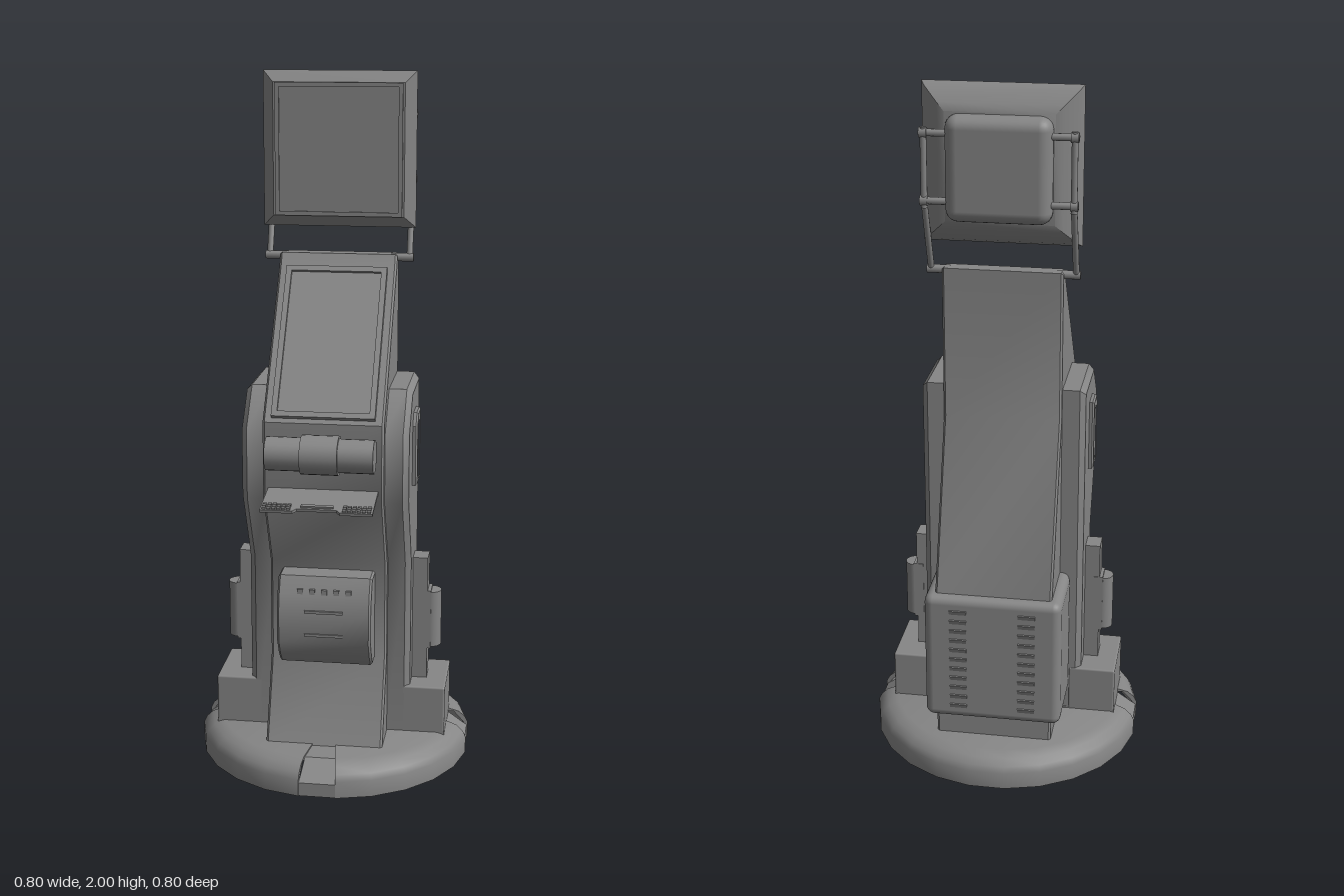
import * as THREE from 'three';
import { toCreasedNormals } from 'three/addons/utils/BufferGeometryUtils.js';
import { RoundedBoxGeometry } from 'three/addons/geometries/RoundedBoxGeometry.js';
import { ConvexGeometry } from 'three/addons/geometries/ConvexGeometry.js';

const grey = new THREE.MeshStandardMaterial({ color: 0x868686 });
const thin = new THREE.MeshStandardMaterial({ color: 0x868686, side: THREE.DoubleSide });
const rad = THREE.MathUtils.degToRad;
const V = (x, y, z) => new THREE.Vector3(x, y, z);

export function createModel() {
  const model = new THREE.Group();

  function add(name, geometry, pos = [0, 0, 0], parent = model, material = grey) {
    const mesh = new THREE.Mesh(geometry, material);
    mesh.name = name;
    mesh.position.set(...pos);
    parent.add(mesh);
    return mesh;
  }
  // box from its min and max corners
  function box(name, a, b, radius = 0) {
    const size = a.map((v, i) => b[i] - v);
    const geo = radius ? new RoundedBoxGeometry(...size, 3, radius) : new THREE.BoxGeometry(...size);
    return add(name, geo, a.map((v, i) => (v + b[i]) / 2));
  }
  // side outline of [z, y] points extruded from x0 to x1; bends below the crease angle are smooth
  function prism(name, pts, x0, x1, bevel, crease = 0.5, hole = null) {
    const toVec = p => new THREE.Vector2(-p[0], p[1]);
    const shape = new THREE.Shape(pts.map(toVec));
    if (hole) shape.holes.push(new THREE.Path(hole.map(toVec)));
    const geo = new THREE.ExtrudeGeometry(shape, {
      depth: x1 - x0 - 2 * bevel, bevelSize: bevel,
      bevelThickness: bevel, bevelOffset: -bevel, bevelSegments: 1,
    });
    geo.translate(0, 0, x0 + bevel).rotateY(Math.PI / 2);
    return add(name, toCreasedNormals(geo, crease));
  }
  function rod(name, a, b, r, sides = 10) {
    const mesh = add(name, new THREE.CylinderGeometry(r, r, a.distanceTo(b), sides));
    mesh.position.copy(a).lerp(b, 0.5);
    mesh.quaternion.setFromUnitVectors(V(0, 1, 0), b.clone().sub(a).normalize());
    return mesh;
  }
  function rectPath(path, w, h) {
    path.moveTo(-w / 2, -h / 2).lineTo(w / 2, -h / 2).lineTo(w / 2, h / 2).lineTo(-w / 2, h / 2);
    path.closePath();
    return path;
  }
  // raised rectangular border facing +z
  function bezel(name, w, h, border, depth) {
    const shape = rectPath(new THREE.Shape(), w, h);
    shape.holes.push(rectPath(new THREE.Path(), w - 2 * border, h - 2 * border));
    return add(name, new THREE.ExtrudeGeometry(shape, { depth, bevelEnabled: false }));
  }

  // round hollow base, with recessed notches at the front and both sides
  const rim = [[0, 0.085], [0.36, 0.085], [0.39, 0.05], [0.39, 0], [0.403, 0], [0.403, 0.05], [0.394, 0.068],
    [0.375, 0.085], [0.345, 0.095], [0, 0.095]].map(p => new THREE.Vector2(...p));
  const notch = [[0, 0.08], [0.335, 0.08], [0.388, 0.03], [0.388, 0], [0.4, 0], [0.4, 0.04],
    [0.335, 0.09], [0, 0.094]].map(p => new THREE.Vector2(...p));
  const arc = (name, profile, start, steps) => add(name, toCreasedNormals(
    new THREE.LatheGeometry(profile, steps, rad(start), rad(15 * steps)), 0.6));
  for (const [start, steps] of [[7.5, 5], [97.5, 11], [277.5, 5]]) {
    arc('base', rim, start, steps);
    for (const angle of [start, start + 15 * steps]) {
      add('baseNotchWall', new THREE.ShapeGeometry(new THREE.Shape(rim)), [0, 0, 0], model, thin)
        .rotation.y = rad(angle - 90);
    }
  }
  for (const start of [-7.5, 82.5, 262.5]) arc('baseNotch', notch, start, 1);
  box('footPlate', [-0.34, 0.075, -0.087], [0.34, 0.1, 0.13]);

  // central cabinet
  prism('cabinet', [[0.26, 0.085], [0.155, 0.33], [0.155, 0.62], [0.262, 0.84], [0.262, 1.06],
    [-0.035, 1.45], [-0.055, 1.485], [-0.1, 1.485], [-0.1, 1.045], [-0.27, 0.56], [-0.27, 0.085]],
  -0.17, 0.17, 0.006);

  // sloping lower screen
  const lower = bezel('lowerScreenFrame', 0.29, 0.47, 0.016, 0.016);
  lower.position.set(0, 1.258, 0.112);
  lower.rotation.x = -Math.atan2(0.297, 0.39);
  add('lowerScreen', new THREE.BoxGeometry(0.262, 0.44, 0.01), [0, 0, 0.002], lower);

  // roller above the keyboard
  for (const [x, r] of [[0.15, 0.047], [0.052, 0.055]]) {
    rod('roller', V(-x, 0.985, 0.31), V(x, 0.985, 0.31), r, 24);
  }
  box('rollerMount', [-0.1, 0.965, 0.25], [0.1, 1.005, 0.3]);

  // keyboard shelf with a notched front edge
  const shelf = new THREE.Shape([[-0.155, 0], [0.155, 0], [0.155, 0.14], [0.065, 0.14], [0.055, 0.125],
    [-0.055, 0.125], [-0.065, 0.14], [-0.155, 0.14]].map(p => new THREE.Vector2(...p)));
  const keyboard = new THREE.Group();
  keyboard.name = 'keyboard';
  keyboard.position.set(0, 0.872, 0.262);
  keyboard.rotation.x = rad(9);
  model.add(keyboard);
  add('keyboardShelf', new THREE.ExtrudeGeometry(shelf, { depth: 0.008, bevelEnabled: false })
    .rotateX(Math.PI / 2), [0, 0, 0], keyboard);
  for (const s of [-1, 1]) {
    for (let i = 0; i < 6; i++) {
      for (let j = 0; j < 3; j++) {
        add('key', new THREE.BoxGeometry(0.010, 0.006, 0.009),
          [s * (0.077 + i * 0.0135), 0.002, 0.108 + j * 0.012], keyboard);
      }
    }
  }
  add('spaceBar', new THREE.BoxGeometry(0.09, 0.006, 0.012), [0, 0.002, 0.112], keyboard);

  // dispenser on the lower front
  prism('dispenser', [[0.14, 0.33], [0.205, 0.33], [0.235, 0.365], [0.26, 0.41], [0.26, 0.5], [0.248, 0.55],
    [0.222, 0.6], [0.14, 0.6]], -0.135, 0.135, 0.006, 0.6);
  for (const y of [0.435, 0.505]) box('dispenserSlot', [-0.055, y - 0.004, 0.25], [0.055, y + 0.004, 0.264]);
  for (let i = -2; i <= 2; i++) {
    box('dispenserButton', [i * 0.035 - 0.008, 0.553, 0.225], [i * 0.035 + 0.008, 0.567, 0.248]);
  }

  // rear housing with two columns of louvres
  box('rearHousing', [-0.2, 0.16, -0.296], [0.2, 0.56, -0.07], 0.025);
  for (const x of [-0.1, 0.1]) {
    for (let i = 0; i < 11; i++) {
      const slat = box('louvre', [x - 0.025, 0.19 + i * 0.031, -0.297], [x + 0.025, 0.211 + i * 0.031, -0.287]);
      slat.rotation.x = rad(-18);
    }
  }

  // upper monitor: bevelled front, curved back, rounded rear case
  const corners = [[-0.055, 0.188], [-0.082, 0.22], [-0.1, 0.21], [-0.128, 0.172], [-0.14, 0.15]]
    .flatMap(([z, h]) => [[-h, -h], [h, -h], [h, h], [-h, h]].map(([x, y]) => V(x, y, z)));
  add('monitor', toCreasedNormals(new ConvexGeometry(corners), 0.6), [0, 1.78, 0]);
  bezel('monitorFrame', 0.365, 0.375, 0.012, 0.006).position.set(0, 1.78, -0.056);
  box('monitorCase', [-0.145, 1.635, -0.186], [0.145, 1.925, -0.1], 0.035);

  for (const s of [-1, 1]) {
    const span = (a, b) => (s > 0 ? [a, b] : [-b, -a]);
    const sideBox = (name, x, y, z, r) => {
      const [x0, x1] = span(...x);
      return box(name, [x0, y[0], z[0]], [x1, y[1], z[1]], r);
    };

    // side panel with bevelled edges and a recessed grip
    prism('sidePanel', [[0.13, 0.085], [0.13, 0.62], [0.235, 0.83], [0.235, 1.03], [0.14, 1.137],
      [-0.085, 1.137], [-0.085, 0.085]], ...span(0.15, 0.236), 0.016, 0.76);
    prism('sideGrip', [[0.12, 0.85], [0.12, 1.025], [0.095, 1.06], [0.025, 1.06], [0.025, 0.85]],
      ...span(0.225, 0.25), 0.005, 0.5,
      [[0.105, 0.862], [0.105, 1.015], [0.09, 1.035], [0.04, 1.035], [0.04, 0.862]]);

    // foot block and upright latch
    sideBox('footBlock', [0.2, 0.34], [0.085, 0.237], [-0.087, 0.13], 0.006);
    sideBox('latchRail', [0.22, 0.28], [0.2, 0.612], [-0.005, 0.058]);
    sideBox('latchBlock', [0.26, 0.29], [0.33, 0.51], [-0.007, 0.058]);
    rod('latchBarrel', V(s * 0.288, 0.335, 0.025), V(s * 0.288, 0.505, 0.025), 0.031, 16);

    // monitor support arms
    const x = s * 0.203;
    rod('hingePin', V(s * 0.15, 1.475, -0.075), V(s * 0.215, 1.475, -0.075), 0.012);
    rod('lowerArm', V(x, 1.475, -0.075), V(x, 1.685, -0.155), 0.009);
    rod('upperArm', V(x, 1.67, -0.155), V(x, 1.89, -0.155), 0.009);
    for (const y of [1.69, 1.875]) {
      rod('armPin', V(s * 0.13, y, -0.155), V(s * 0.215, y, -0.155), 0.01);
      rod('armBolt', V(s * 0.193, y, -0.155), V(s * 0.214, y, -0.155), 0.014);
    }
  }
  return model;
}
